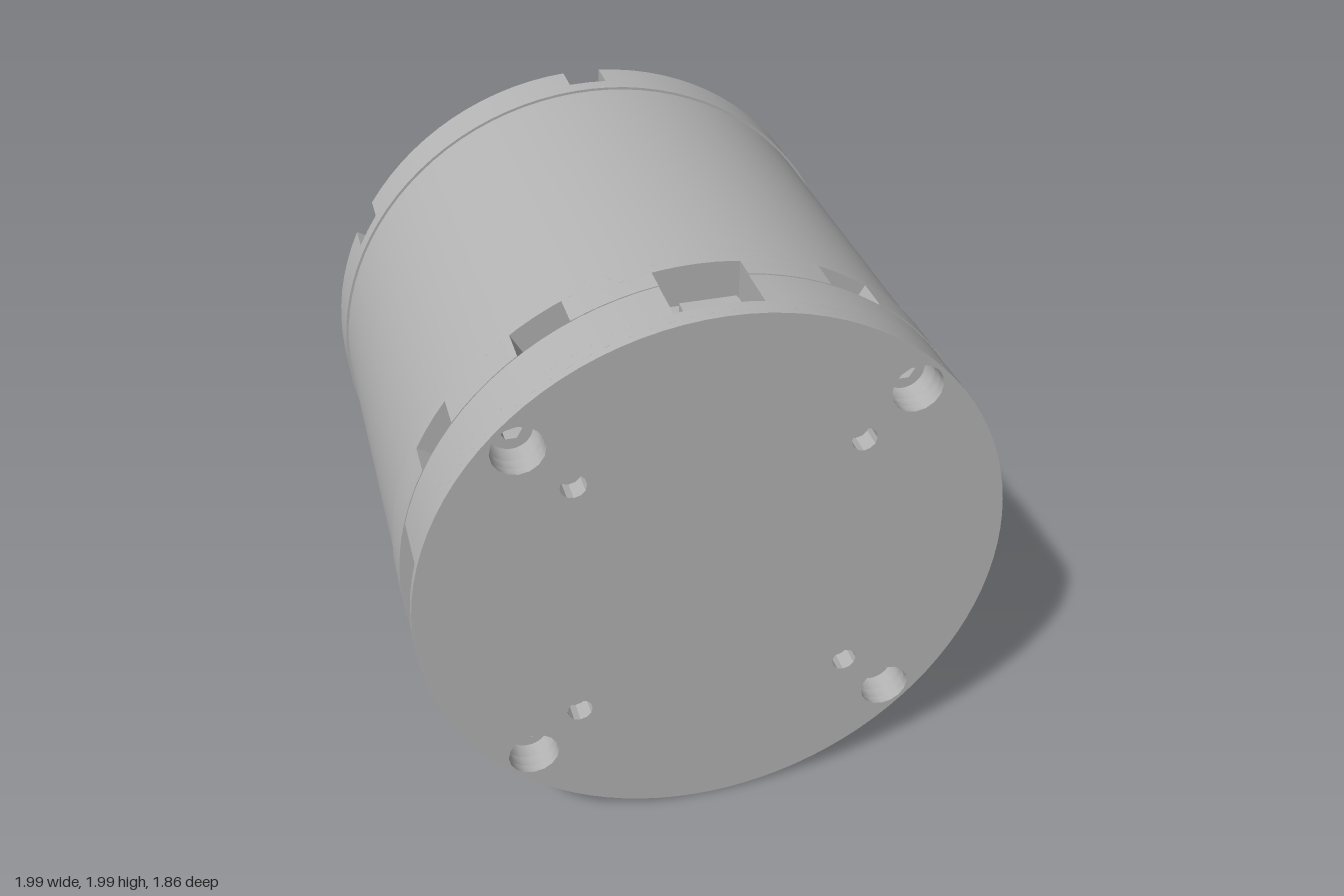
import * as THREE from 'three';
import { toCreasedNormals } from 'three/addons/utils/BufferGeometryUtils.js';

const rad = THREE.MathUtils.degToRad;

// Circular outline with square cuts; each cut = { a: degrees, w: half width, d: depth }
function outline(r, cuts = []) {
  const pts = [];
  const sorted = [...cuts].sort((p, q) => p.a - q.a);
  const arc = (from, to) => {
    const n = Math.max(2, Math.ceil((to - from) / rad(3.75)));
    for (let i = 0; i <= n; i++) {
      const t = from + (to - from) * i / n;
      pts.push(new THREE.Vector2(Math.cos(t) * r, Math.sin(t) * r));
    }
  };
  if (!sorted.length) {
    arc(0, Math.PI * 2);
    pts.pop();
    return new THREE.Shape(pts);
  }
  sorted.forEach((c, i) => {
    const next = sorted[(i + 1) % sorted.length];
    const t = rad(c.a);
    for (const side of [-1, 1]) {
      pts.push(new THREE.Vector2(r - c.d, side * c.w).rotateAround(new THREE.Vector2(), t));
    }
    const end = rad(next.a + (i === sorted.length - 1 ? 360 : 0)) - Math.asin(next.w / r);
    arc(t + Math.asin(c.w / r), end);
  });
  return new THREE.Shape(pts);
}

// Round or polygonal hole
function hole(x, y, r, sides = 20) {
  const pts = [];
  for (let i = 0; i < sides; i++) {
    const t = -i / sides * Math.PI * 2;
    pts.push(new THREE.Vector2(x + r * Math.cos(t), y + r * Math.sin(t)));
  }
  return new THREE.Path(pts);
}

// Holes evenly spaced on a circle
function holeCircle(count, start, dist, r, sides) {
  return Array.from({ length: count }, (_, i) => {
    const t = rad(start + i * 360 / count);
    return hole(dist * Math.cos(t), dist * Math.sin(t), r, sides);
  });
}

export function createModel() {
  const model = new THREE.Group();
  model.name = 'motorHousing';
  const grey = new THREE.MeshStandardMaterial({ color: 0xb4b4b4 });
  grey.name = 'housing grey';

  const body = new THREE.Group();
  body.name = 'housing';
  body.position.y = 1;
  model.add(body);

  const add = (name, geometry) => {
    const mesh = new THREE.Mesh(geometry, grey);
    mesh.name = name;
    body.add(mesh);
    return mesh;
  };
  // Slice of the housing from z0 to z1
  const slice = (name, z0, z1, shape, holes = []) => {
    shape.holes.push(...holes);
    const g = new THREE.ExtrudeGeometry(shape, { depth: z1 - z0, bevelEnabled: false });
    g.translate(0, 0, z0);
    return add(name, toCreasedNormals(g, 0.5));
  };

  // Front cap with connector slots and screw holes
  const corner = () => holeCircle(4, 45, 0.89, 0.086, 16);
  const small = () => holeCircle(4, 45, 0.66, 0.043, 12);
  const sideSlots = [{ a: 0, w: 0.25, d: 0.22 }, { a: 180, w: 0.25, d: 0.22 }];
  const topSlot = { a: 90, w: 0.14, d: 0.14 };
  slice('frontPlate', 0.90, 0.93, outline(0.99), [...corner(), ...small()]);
  slice('capRim', 0.86, 0.90, outline(0.99, sideSlots), [...corner(), ...small()]);
  slice('capWall', 0.70, 0.86, outline(0.99, [...sideSlots, topSlot]), corner());

  // Middle ring with small windows
  const windows = [0, 60, 120, 148, 240, 300].map(a => ({ a, w: 0.095, d: 0.13 }));
  slice('windowRing', 0.62, 0.70, outline(0.993, [...windows, topSlot]));
  slice('windowRingBack', 0.58, 0.62, outline(0.993, windows));
  slice('middleRing', 0.54, 0.58, outline(0.993));

  // Main barrel
  slice('barrel', -0.72, 0.54, outline(0.986));

  // Rear flange with edge notches
  const notches = () => [30, 90, 150, 210, 270, 330].map(a => ({ a, w: 0.068, d: 0.12 }));
  const bolts = () => holeCircle(6, 0, 0.88, 0.032, 10);
  slice('rearRing', -0.78, -0.72, outline(0.995));
  slice('rearFlangeFloor', -0.85, -0.78, outline(0.995, notches()), [
    ...bolts(), hole(0, 0, 0.2, 6),
    ...holeCircle(6, 0, 0.39, 0.1, 7), ...holeCircle(6, 30, 0.44, 0.036, 10)]);
  slice('rearFlange', -0.89, -0.85, outline(0.995, notches()), [...bolts(), hole(0, 0, 0.54, 48)]);
  slice('outputRing', -0.93, -0.89, outline(0.61), [hole(0, 0, 0.54, 48)]);

  // Raised webs and bosses in the output recess
  for (let i = 0; i < 6; i++) {
    const t = rad(30 + i * 60);
    const boss = outline(0.068);
    boss.holes.push(hole(0, 0, 0.036, 10));
    const g = new THREE.ExtrudeGeometry(boss, { depth: 0.055, bevelEnabled: false });
    add('boltBoss', toCreasedNormals(g, 0.5))
      .position.set(0.44 * Math.cos(t), 0.44 * Math.sin(t), -0.905);
    const web = add('recessWeb', new THREE.BoxGeometry(0.15, 0.05, 0.04));
    web.position.set(0.31 * Math.cos(t), 0.31 * Math.sin(t), -0.87);
    web.rotation.z = t;
  }
  slice('hubCollar', -0.9, -0.85, outline(0.25), [hole(0, 0, 0.2, 6)]);

  // Hex socket screws sunk in the front corners
  for (let i = 0; i < 4; i++) {
    const t = rad(45 + i * 90);
    const head = outline(0.068);
    head.holes.push(hole(0, 0, 0.036, 6));
    const g = new THREE.ExtrudeGeometry(head, { depth: 0.12, bevelEnabled: false });
    add('cornerScrew', toCreasedNormals(g, 0.5))
      .position.set(0.89 * Math.cos(t), 0.89 * Math.sin(t), 0.70);
  }

  // Round screw heads in the windows
  for (const { a } of windows) {
    const t = rad(a);
    const head = add('windowScrew', new THREE.SphereGeometry(0.055, 16, 10));
    head.position.set(0.88 * Math.cos(t), 0.88 * Math.sin(t), 0.64);
  }

  // Connector blocks inside the cap slots
  for (const [a, w, r] of [[0, 0.3, 0.81], [90, 0.18, 0.88], [180, 0.3, 0.81]]) {
    const t = rad(a);
    const block = add('connector', new THREE.BoxGeometry(0.12, w, 0.09));
    block.position.set(r * Math.cos(t), r * Math.sin(t), 0.79);
    block.rotation.z = t;
  }
  return model;
}
